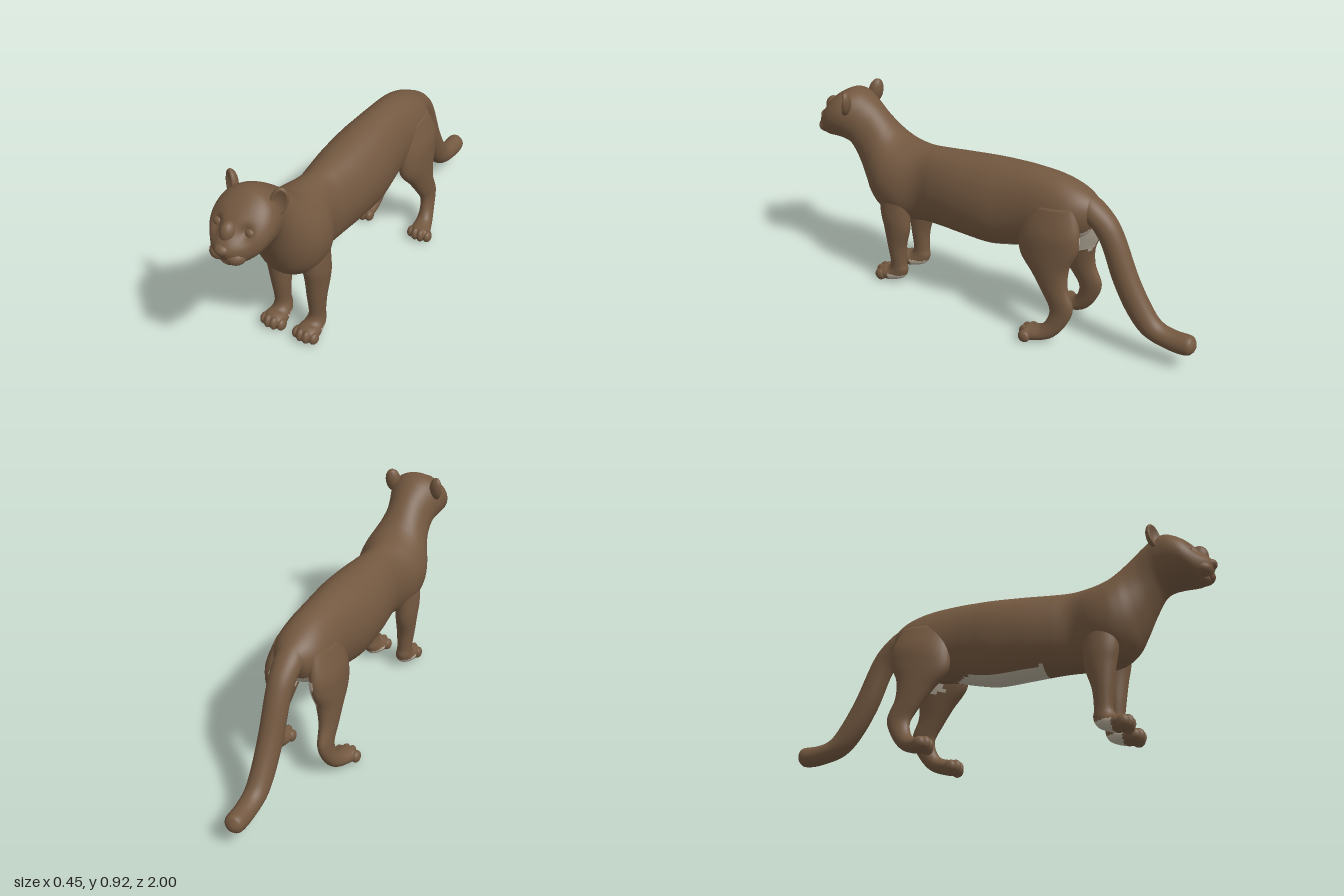
import * as THREE from 'three';

const fur = new THREE.MeshStandardMaterial({ color: 0x735840 });
fur.name = 'brown fur';
const paleFur = new THREE.MeshStandardMaterial({ color: 0xb8ae9c });
paleFur.name = 'pale underside fur';

// Catmull-Rom value through rows of numbers
function sample(rows, u) {
  const n = rows.length - 1;
  const i = Math.min(Math.floor(u * n), n - 1), t = u * n - i;
  const at = (k) => rows[Math.max(0, Math.min(n, k))];
  const [p, q, r, s] = [at(i - 1), at(i), at(i + 1), at(i + 2)];
  return q.map((_, c) => 0.5 * (2 * q[c] + (r[c] - p[c]) * t +
    (2 * p[c] - 5 * q[c] + 4 * r[c] - s[c]) * t * t + (3 * q[c] - p[c] - 3 * r[c] + s[c]) * t * t * t));
}

// Skin over oval rings; each row: z,y of one edge, z,y of the opposite edge, half width, centre x
function loft(name, rows, { side = 1, perRow = 6, around = 36, pale = null, shape = null } = {}) {
  const steps = (rows.length - 1) * perRow, rings = [];
  for (let i = 0; i <= steps; i++) rings.push(sample(rows.map((r) => [...r, 0].slice(0, 6)), i / steps));
  const cap = ([az, ay, bz, by, , cx]) => {
    const z = (az + bz) / 2, y = (ay + by) / 2;
    return [z, y, z, y, 0, cx];
  };
  rings.unshift(cap(rings[0]));
  rings.push(cap(rings[rings.length - 1]));
  const pos = [], brown = [], light = [], v = new THREE.Vector3();
  for (const [az, ay, bz, by, hw, cx] of rings) {
    for (let j = 0; j < around; j++) {
      const a = (j / around) * Math.PI * 2, c = Math.cos(a) / 2;
      v.set(side * cx + Math.sin(a) * hw, (ay + by) / 2 + c * (ay - by), (az + bz) / 2 + c * (az - bz));
      if (shape) shape(v);
      pos.push(v.x, v.y, v.z);
    }
  }
  for (let i = 0; i < rings.length - 1; i++) {
    for (let j = 0; j < around; j++) {
      const k = (j + 1) % around;
      const a = i * around + j, b = i * around + k, c = a + around, d = b + around;
      const mid = [0, 1, 2].map((m) => (pos[a * 3 + m] + pos[d * 3 + m]) / 2);
      (pale && pale(...mid) ? light : brown).push(a, c, b, b, c, d);
    }
  }
  const g = new THREE.BufferGeometry();
  g.setAttribute('position', new THREE.Float32BufferAttribute(pos, 3));
  g.setIndex([...brown, ...light]);
  g.addGroup(0, brown.length, 0);
  g.addGroup(brown.length, light.length, 1);
  g.computeVertexNormals();
  const mesh = new THREE.Mesh(g, light.length ? [fur, paleFur] : fur);
  mesh.name = name;
  return mesh;
}

function blob(name, x, y, z, rx, ry, rz) {
  const mesh = new THREE.Mesh(new THREE.SphereGeometry(1, 24, 16), fur);
  mesh.position.set(x, y, z);
  mesh.scale.set(rx, ry, rz);
  mesh.name = name;
  return mesh;
}

// Rump to nose: top z,y / bottom z,y / half width
const BODY = [
  [-0.52, 0.63, -0.50, 0.56, 0.03], [-0.50, 0.67, -0.47, 0.50, 0.075],
  [-0.43, 0.71, -0.40, 0.45, 0.115], [-0.33, 0.74, -0.32, 0.40, 0.125],
  [-0.20, 0.75, -0.20, 0.375, 0.127], [-0.10, 0.748, -0.10, 0.348, 0.137],
  [0.00, 0.742, 0.00, 0.33, 0.147], [0.15, 0.728, 0.15, 0.333, 0.143],
  [0.27, 0.717, 0.28, 0.335, 0.127], [0.36, 0.712, 0.38, 0.33, 0.117],
  [0.46, 0.715, 0.47, 0.322, 0.155], [0.52, 0.73, 0.56, 0.335, 0.163],
  [0.56, 0.755, 0.63, 0.38, 0.148], [0.60, 0.79, 0.675, 0.45, 0.125],
  [0.645, 0.83, 0.72, 0.54, 0.110], [0.69, 0.865, 0.765, 0.62, 0.113],
  [0.74, 0.895, 0.80, 0.645, 0.126], [0.79, 0.905, 0.84, 0.652, 0.135],
  [0.84, 0.885, 0.88, 0.652, 0.132], [0.89, 0.85, 0.90, 0.65, 0.118],
  [0.93, 0.81, 0.92, 0.648, 0.095], [0.96, 0.78, 0.945, 0.655, 0.07],
  [0.98, 0.755, 0.965, 0.675, 0.045], [0.99, 0.735, 0.98, 0.70, 0.02],
];
// Root to tip: lower edge, upper edge, half width
const TAIL = [
  [-0.42, 0.53, -0.42, 0.70, 0.055], [-0.49, 0.55, -0.50, 0.675, 0.062],
  [-0.525, 0.515, -0.585, 0.61, 0.057], [-0.555, 0.46, -0.64, 0.53, 0.054],
  [-0.61, 0.32, -0.716, 0.36, 0.052], [-0.685, 0.19, -0.79, 0.235, 0.05],
  [-0.77, 0.107, -0.84, 0.18, 0.048], [-0.89, 0.075, -0.90, 0.165, 0.045],
  [-0.965, 0.075, -0.97, 0.165, 0.043], [-0.99, 0.09, -0.99, 0.15, 0.03], [-1, 0.11, -1, 0.13, 0.01],
];
// Legs, top to toe: front edge, back edge, half width, centre x
const FRONT_LEG = [
  [0.58, 0.50, 0.42, 0.50, 0.058, 0.085], [0.575, 0.38, 0.42, 0.36, 0.055, 0.095],
  [0.56, 0.30, 0.425, 0.29, 0.05, 0.095], [0.545, 0.20, 0.45, 0.20, 0.043, 0.092],
  [0.535, 0.12, 0.455, 0.11, 0.036, 0.09], [0.54, 0.09, 0.45, 0.07, 0.038, 0.088],
  [0.555, 0.075, 0.47, 0.03, 0.045, 0.086], [0.575, 0.073, 0.53, 0.006, 0.053, 0.085],
  [0.595, 0.065, 0.575, 0.004, 0.054, 0.084], [0.61, 0.045, 0.605, 0.014, 0.04, 0.083],
];
const HIND_LEG = [
  [-0.22, 0.62, -0.45, 0.64, 0.04, 0.08], [-0.20, 0.50, -0.485, 0.54, 0.058, 0.1],
  [-0.205, 0.395, -0.485, 0.46, 0.057, 0.107], [-0.275, 0.31, -0.45, 0.37, 0.048, 0.115],
  [-0.33, 0.235, -0.45, 0.28, 0.037, 0.123], [-0.37, 0.17, -0.483, 0.19, 0.03, 0.128],
  [-0.367, 0.12, -0.455, 0.105, 0.031, 0.135], [-0.345, 0.085, -0.40, 0.035, 0.038, 0.145],
  [-0.31, 0.072, -0.33, 0.006, 0.048, 0.155], [-0.28, 0.068, -0.285, 0.004, 0.052, 0.162],
  [-0.262, 0.045, -0.262, 0.014, 0.04, 0.164],
];

// Eye hollows and pinched snout above the muzzle
function sculptFace(v) {
  if (v.z < 0.8) return;
  const dx = Math.abs(v.x) - 0.062, dy = v.y - 0.79;
  v.z -= 0.028 * Math.exp(-(dx * dx) / 0.0007 - (dy * dy) / 0.0009);
}

function ear(side) {
  const g = new THREE.SphereGeometry(1, 28, 20), p = g.attributes.position;
  for (let i = 0; i < p.count; i++) {
    // hollow front makes a cup with a rounded rim
    const r = Math.hypot(p.getX(i), p.getY(i));
    if (p.getZ(i) > 0) p.setZ(i, p.getZ(i) * 0.6 - 0.75 * Math.max(0, 1 - r * r * 1.3));
  }
  g.computeVertexNormals();
  const mesh = new THREE.Mesh(g, fur);
  mesh.scale.set(0.036, 0.06, 0.03);
  mesh.position.set(side * 0.112, 0.862, 0.757);
  mesh.rotation.set(-0.1, side * 0.55, side * -0.15);
  mesh.name = side > 0 ? 'leftEar' : 'rightEar';
  return mesh;
}

export function createModel() {
  const model = new THREE.Group();
  model.name = 'bigCat';

  model.add(loft('bodyAndHead', BODY, {
    perRow: 7, around: 64, shape: sculptFace,
    pale: (x, y, z) => (z > -0.3 && z < 0.22 && y < 0.375 && Math.abs(x) < 0.07) ||
      (z <= -0.3 && y < 0.53 && Math.abs(x) < 0.08),
  }));
  model.add(loft('tail', TAIL));

  // Muzzle
  const face = new THREE.Group();
  face.name = 'face';
  face.add(blob('nose', 0, 0.735, 0.972, 0.032, 0.024, 0.028));
  face.add(blob('noseBridge', 0, 0.785, 0.925, 0.034, 0.05, 0.042));
  face.add(blob('chin', 0, 0.668, 0.925, 0.042, 0.025, 0.04));
  for (const s of [1, -1]) {
    face.add(blob('muzzlePad', s * 0.036, 0.697, 0.938, 0.043, 0.034, 0.044));
    face.add(blob('eyelid', s * 0.073, 0.787, 0.892, 0.022, 0.02, 0.018));
    face.add(ear(s));
  }
  model.add(face);

  for (const side of [1, -1]) {
    const label = side > 0 ? 'left' : 'right';
    model.add(loft(label + 'FrontLeg', FRONT_LEG, {
      side, pale: (x, y, z) => y < 0.05 && z < 0.535,
    }));
    model.add(loft(label + 'HindLeg', HIND_LEG, {
      side, pale: (x, y, z) => Math.abs(x) < 0.1 && y > 0.37 && y < 0.53 && z < -0.3,
    }));
    // Four rounded toes on each paw
    for (const [paw, cx, z] of [['Front', 0.084, 0.592], ['Hind', 0.162, -0.278]]) {
      for (let i = 0; i < 4; i++) {
        const inner = i === 1 || i === 2;
        model.add(blob(label + paw + 'Toe', side * (cx + (i - 1.5) * 0.029),
          inner ? 0.036 : 0.031, z + (inner ? 0.003 : -0.01), 0.019, inner ? 0.032 : 0.028, 0.028));
      }
    }
  }
  return model;
}
